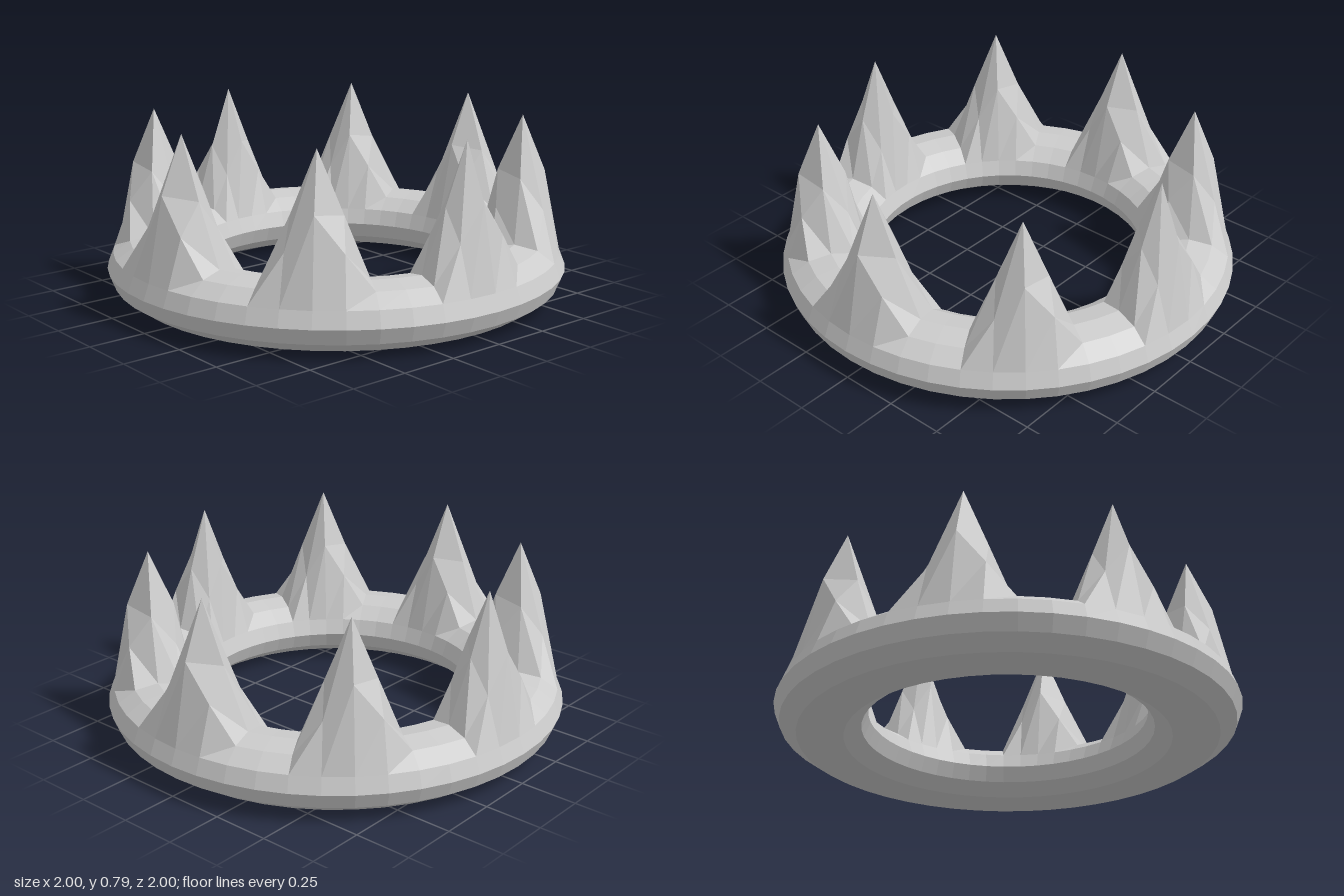
import * as THREE from 'three';

const RADIUS = 0.8, TUBE = 0.2, HALF_HEIGHT = 0.135;
const SPIKES = 8, SIDES = 12, SEGMENTS = 48;
const SPIKE_HALF_ANGLE = Math.PI / 12;

// Faceted ring whose upper three loops are pulled up into evenly spaced spikes
function crownGeometry() {
  const geometry = new THREE.TorusGeometry(RADIUS, TUBE, SIDES, SEGMENTS);
  geometry.rotateX(-Math.PI / 2);
  geometry.scale(1, HALF_HEIGHT / TUBE, 1);
  geometry.translate(0, HALF_HEIGHT, 0);

  const pos = geometry.attributes.position;
  const pitch = (2 * Math.PI) / SPIKES;
  for (let i = 0; i < pos.count; i++) {
    const x = pos.getX(i), y = pos.getY(i), z = pos.getZ(i);
    if (y < 0.23) continue; // only the top loops rise
    const angle = Math.atan2(z, x);
    const offset = Math.abs(angle - Math.round(angle / pitch) * pitch);
    const rise = Math.max(0, 1 - offset / SPIKE_HALF_ANGLE);
    const onCrest = Math.abs(Math.hypot(x, z) - RADIUS) < 0.02;
    pos.setY(i, y + rise * (onCrest ? 0.52 : 0.3));
  }
  const faceted = geometry.toNonIndexed();
  faceted.computeVertexNormals();
  return faceted;
}

export function createModel() {
  const group = new THREE.Group();
  group.name = 'crown';
  const material = new THREE.MeshStandardMaterial({ color: 0xcccccc, flatShading: true });
  const ring = new THREE.Mesh(crownGeometry(), material);
  ring.name = 'spikedRing';
  group.add(ring);
  return group;
}
